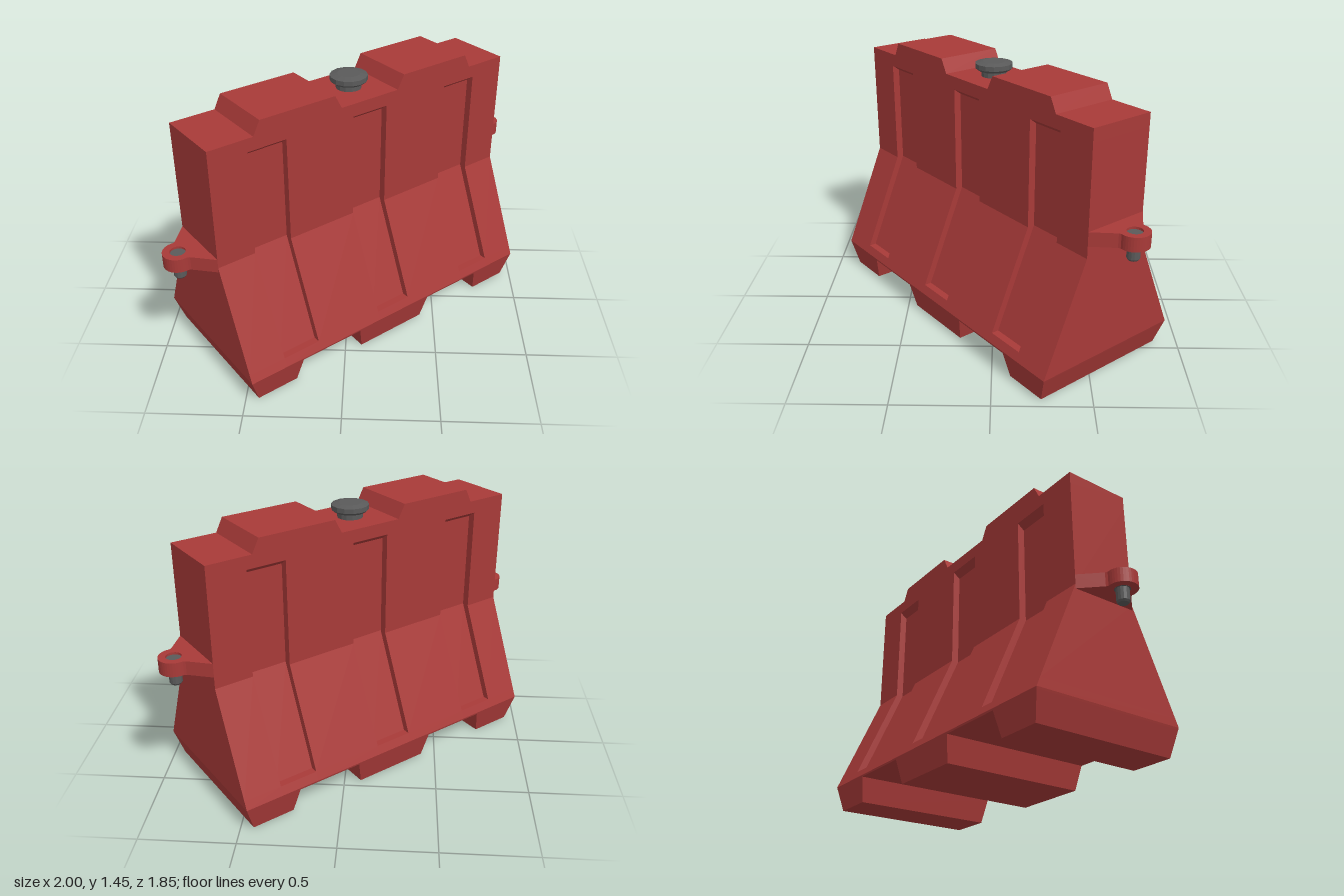
import * as THREE from 'three';

const red = new THREE.MeshStandardMaterial({ color: 0xa83a38, flatShading: true });
const grey = new THREE.MeshStandardMaterial({ color: 0x5a5a5a, flatShading: true });

const L = 0.935; // half length of the barrier
const W = 0.183; // half width of the upper wall
const TOP = 1.37;

function mesh(name, geometry, material) {
  const m = new THREE.Mesh(geometry, material);
  m.name = name;
  return m;
}

// Collects quads (corners counter-clockwise); "twin" adds the half-turn copy.
function quadBuilder(twin) {
  const pos = [];
  const quad = (a, b, c, d) => {
    for (const p of [a, b, c, a, c, d]) pos.push(...p);
    if (twin) for (const [x, y, z] of [a, b, c, a, c, d]) pos.push(-x, y, -z);
  };
  const build = () => {
    const g = new THREE.BufferGeometry();
    g.setAttribute('position', new THREE.Float32BufferAttribute(pos, 3));
    g.computeVertexNormals();
    return g;
  };
  return { quad, build };
}

// Block with sloping sides: x range and half width at bottom and at top
function taperedBlock(y0, x0, x1, w0, y1, X0, X1, w1) {
  const { quad, build } = quadBuilder(false);
  const lo = [[x0, y0, w0], [x1, y0, w0], [x1, y0, -w0], [x0, y0, -w0]];
  const hi = [[X0, y1, w1], [X1, y1, w1], [X1, y1, -w1], [X0, y1, -w1]];
  for (let i = 0; i < 4; i++) {
    const j = (i + 1) % 4;
    quad(lo[i], lo[j], hi[j], hi[i]);
  }
  quad(...hi);
  quad(lo[3], lo[2], lo[1], lo[0]);
  return build();
}

// Hollow-looking main wall with three recessed channels on each long side
function wallGeometry() {
  const { quad, build } = quadBuilder(true);
  const rows = [[0.135, 0.4315], [0.145, 0.4335], [0.19, 0.414], [0.725, W], [1.3, W], [TOP, W]];
  const cols = [-L, -0.725, -0.51, -0.108, 0.108, 0.51, 0.725, L];
  const inner = [[0.19, 0.374], [0.725, 0.143], [1.27, 0.143]];
  const outer = rows.slice(2, 5);
  const at = (u, [y, w]) => [y < 0.14 ? THREE.MathUtils.clamp(u, -0.932, 0.932) : u, y, w];

  for (let c = 0; c < cols.length - 1; c++) {
    const u0 = cols[c], u1 = cols[c + 1];
    const channel = c % 2 === 1;
    for (let r = 0; r < rows.length - 1; r++) {
      if (channel && (r === 2 || r === 3)) continue;
      quad(at(u0, rows[r]), at(u1, rows[r]), at(u1, rows[r + 1]), at(u0, rows[r + 1]));
    }
    if (!channel) continue;
    for (let i = 0; i < 2; i++) {
      const a = inner[i], b = inner[i + 1], o = outer[i], p = outer[i + 1];
      quad(at(u0, a), at(u1, a), at(u1, b), at(u0, b));
      quad(at(u0, o), at(u0, a), at(u0, b), at(u0, p));
      quad(at(u1, a), at(u1, o), at(u1, p), at(u1, b));
    }
    // sill and ceiling of the channel
    quad(at(u0, outer[0]), at(u1, outer[0]), at(u1, inner[0]), at(u0, inner[0]));
    quad(at(u0, inner[2]), at(u1, inner[2]), at(u1, outer[2]), at(u0, outer[2]));
  }
  // end face
  for (let r = 0; r < rows.length - 1; r++) {
    const [y, w] = rows[r], [Y, V] = rows[r + 1];
    quad(at(L, [y, w]), at(L, [y, -w]), at(L, [Y, -V]), at(L, [Y, V]));
  }
  // half of the top and of the underside
  quad([-L, TOP, W], [L, TOP, W], [L, TOP, 0], [-L, TOP, 0]);
  const [yb, wb] = rows[0];
  quad([-0.932, yb, 0], [0.932, yb, 0], [0.932, yb, wb], [-0.932, yb, wb]);
  return build();
}

// Connecting lug with its drop pin, pointing along +x
function lug(name, y) {
  const group = new THREE.Group();
  group.name = name;
  const cx = 1.055, r = 0.077, h = 0.075;
  const shape = new THREE.Shape();
  shape.moveTo(L - 0.02, -W);
  shape.lineTo(L, -W);
  shape.lineTo(1.03, -0.082);
  shape.absarc(cx, 0, r, -1.75, 1.75, false);
  shape.lineTo(1.03, 0.082);
  shape.lineTo(L, W);
  shape.lineTo(L - 0.02, W);
  const hole = new THREE.Path();
  hole.absarc(cx, 0, 0.04, 0, Math.PI * 2, true);
  shape.holes.push(hole);
  const plate = new THREE.ExtrudeGeometry(shape, { depth: h, bevelEnabled: false, curveSegments: 10 });
  plate.rotateX(-Math.PI / 2);
  group.add(mesh('lugPlate', plate, red));

  const profile = [[0, -0.075], [0.026, -0.075], [0.033, -0.065], [0.033, 0], [0.04, 0], [0.04, h - 0.012], [0, h - 0.012]];
  const pin = new THREE.LatheGeometry(profile.map(([a, b]) => new THREE.Vector2(a, b)), 14);
  const pinMesh = mesh('lugPin', pin, grey);
  pinMesh.position.x = cx;
  group.add(pinMesh);
  group.position.y = y;
  return group;
}

export function createModel() {
  const model = new THREE.Group();
  model.name = 'roadBarrier';
  model.add(mesh('wall', wallGeometry(), red));

  // feet, separated by the two lifting slots
  model.add(mesh('middleFoot', taperedBlock(0, -0.215, 0.215, 0.405, 0.135, -0.245, 0.245, 0.4315), red));
  for (const side of [1, -1]) {
    const turn = side > 0 ? 0 : Math.PI;
    const foot = mesh('endFoot', taperedBlock(0, 0.65, 0.888, 0.405, 0.135, 0.62, 0.932, 0.4315), red);
    const ridge = mesh('topRidge', taperedBlock(TOP, 0.18, 0.69, W, 1.445, 0.22, 0.652, W), red);
    const link = lug('connectingLug', side > 0 ? 0.79 : 0.7);
    for (const part of [foot, ridge, link]) {
      part.rotation.y = turn;
      model.add(part);
    }
  }

  // filler cap on the top
  const cap = [[0, 1.45], [0.06, 1.449], [0.1, 1.44], [0.1, 1.415], [0.085, 1.402], [0.068, 1.4], [0.068, TOP]];
  model.add(mesh('fillerCap', new THREE.LatheGeometry(cap.reverse().map(([r, y]) => new THREE.Vector2(r, y)), 14), grey));

  // the barrier stands diagonally
  model.rotation.y = 0.683;
  const root = new THREE.Group();
  root.name = 'barrier';
  root.add(model);
  return root;
}
